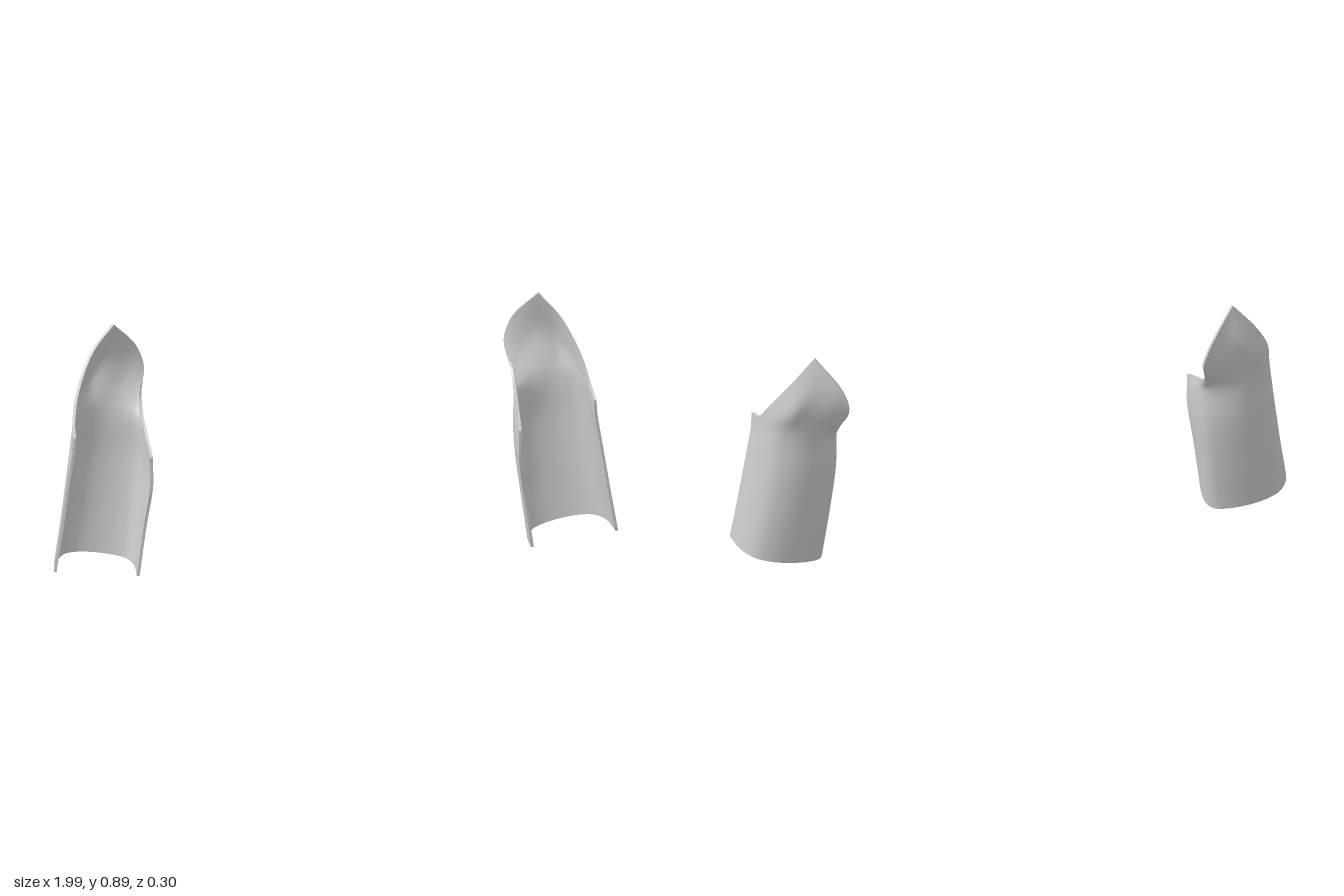
import * as THREE from 'three';

const THICKNESS = 0.01, PER = 5, ROWS = 30;

// Horseshoe profile, inner front edge to outer front edge:
// [share of the width, share of the depth, backward bulge of the elbow cup]
const PROFILE = [
  [0, 0, 0], [-0.01, 0.4, 0], [0.02, 0.68, 0], [0.08, 0.83, 0], [0.2, 0.93, 0], [0.34, 0.985, 0.012],
  [0.5, 1, 0.03], [0.66, 0.96, 0.025], [0.82, 0.83, 0.01], [0.94, 0.52, 0], [1, 0, 0],
];
const TIP = 6;

// Top rim: inner corner, flared wing, pointed tip, sweep down to the outer corner
const TOP = [
  [0.645, 0.475, 0.145], [0.65, 0.525, 0.04], [0.652, 0.555, -0.03], [0.65, 0.6, -0.09],
  [0.636, 0.68, -0.142], [0.665, 0.77, -0.148], [0.75, 0.885, -0.1], [0.83, 0.785, -0.085],
  [0.89, 0.67, -0.02], [0.915, 0.585, 0.05], [0.922, 0.56, 0.12],
].map((p) => new THREE.Vector3(...p));

const lerp = THREE.MathUtils.lerp;

// Cross-section from inner/outer x, inner/outer front z, back z, inner/outer y, rise at the back
function section(xi, xo, zi, zo, zb, yi, yo, rise = 0) {
  return PROFILE.map(([s, f]) => new THREE.Vector3(
    lerp(xi, xo, s), lerp(yi, yo, s) + rise * f, lerp(lerp(zi, zo, s), zb, f)));
}

function sample(points) {
  const curve = new THREE.CatmullRomCurve3(points);
  return curve.getPoints((points.length - 1) * PER);
}

// Grid of surface points, grid[row][column]
function surfaceGrid() {
  const neck = section(0.645, 0.926, 0.146, 0.12, -0.088, 0.44, 0.5, 0.1);
  const cup = neck.map((p, i) => {
    const q = p.clone().lerp(TOP[i], 0.5);
    q.z -= PROFILE[i][2];
    return q;
  });
  const rows = [
    section(0.69, 0.995, 0.13, 0.145, -0.034, 0, 0.05),
    section(0.666, 0.968, 0.129, 0.134, -0.059, 0.19, 0.22),
    section(0.645, 0.943, 0.147, 0.122, -0.08, 0.36, 0.39, 0.03),
    neck, cup,
  ].map(sample);
  // split at the tip so that it stays sharp
  rows.push([...sample(TOP.slice(0, TIP + 1)), ...sample(TOP.slice(TIP)).slice(1)]);
  const columns = rows[0].map((_, i) =>
    new THREE.CatmullRomCurve3(rows.map((r) => r[i])).getPoints(ROWS));
  return columns[0].map((_, j) => columns.map((c) => c[j]));
}

function shellGeometry(side) {
  const grid = surfaceGrid();
  const w = grid[0].length, h = grid.length;
  const outer = grid.flat();
  const index = [];
  for (let j = 0; j < h - 1; j++) {
    for (let i = 0; i < w - 1; i++) {
      const a = j * w + i, b = a + 1, c = a + w, d = c + 1;
      index.push(a, c, b, b, c, d);
    }
  }

  // inner layer, pushed in along the normals
  const skin = new THREE.BufferGeometry().setFromPoints(outer);
  skin.setIndex(index);
  skin.computeVertexNormals();
  const normal = new THREE.Vector3();
  const inner = outer.map((p, k) => p.clone().addScaledVector(
    normal.fromBufferAttribute(skin.attributes.normal, k), -THICKNESS));

  const points = [...outer, ...inner];
  const n = outer.length;
  const faces = [...index];
  for (let k = 0; k < index.length; k += 3) {
    faces.push(index[k] + n, index[k + 2] + n, index[k + 1] + n);
  }

  // rim joining both layers around the border
  const loop = [];
  for (let i = 0; i < w - 1; i++) loop.push(i);
  for (let j = 0; j < h - 1; j++) loop.push(j * w + w - 1);
  for (let i = w - 1; i > 0; i--) loop.push((h - 1) * w + i);
  for (let j = h - 1; j > 0; j--) loop.push(j * w);
  loop.forEach((a, k) => {
    const b = loop[(k + 1) % loop.length], base = points.length;
    points.push(outer[a], outer[b], inner[a], inner[b]);
    faces.push(base, base + 1, base + 2, base + 1, base + 3, base + 2);
  });

  // mirrored copy needs reversed corners
  if (side < 0) {
    for (let k = 0; k < faces.length; k += 3) {
      [faces[k + 1], faces[k + 2]] = [faces[k + 2], faces[k + 1]];
    }
  }
  const low = Math.min(...points.map((p) => p.y));
  const geometry = new THREE.BufferGeometry().setFromPoints(
    points.map((p) => new THREE.Vector3(p.x * side, p.y - low, p.z)));
  geometry.setIndex(faces);
  geometry.computeVertexNormals();
  return geometry;
}

export function createModel() {
  const model = new THREE.Group();
  model.name = 'forearmGuards';
  const plate = new THREE.MeshStandardMaterial({ color: 0xcccccc });
  plate.name = 'light grey plate';
  for (const [name, side] of [['leftForearmGuard', 1], ['rightForearmGuard', -1]]) {
    const guard = new THREE.Mesh(shellGeometry(side), plate);
    guard.name = name;
    model.add(guard);
  }
  return model;
}
